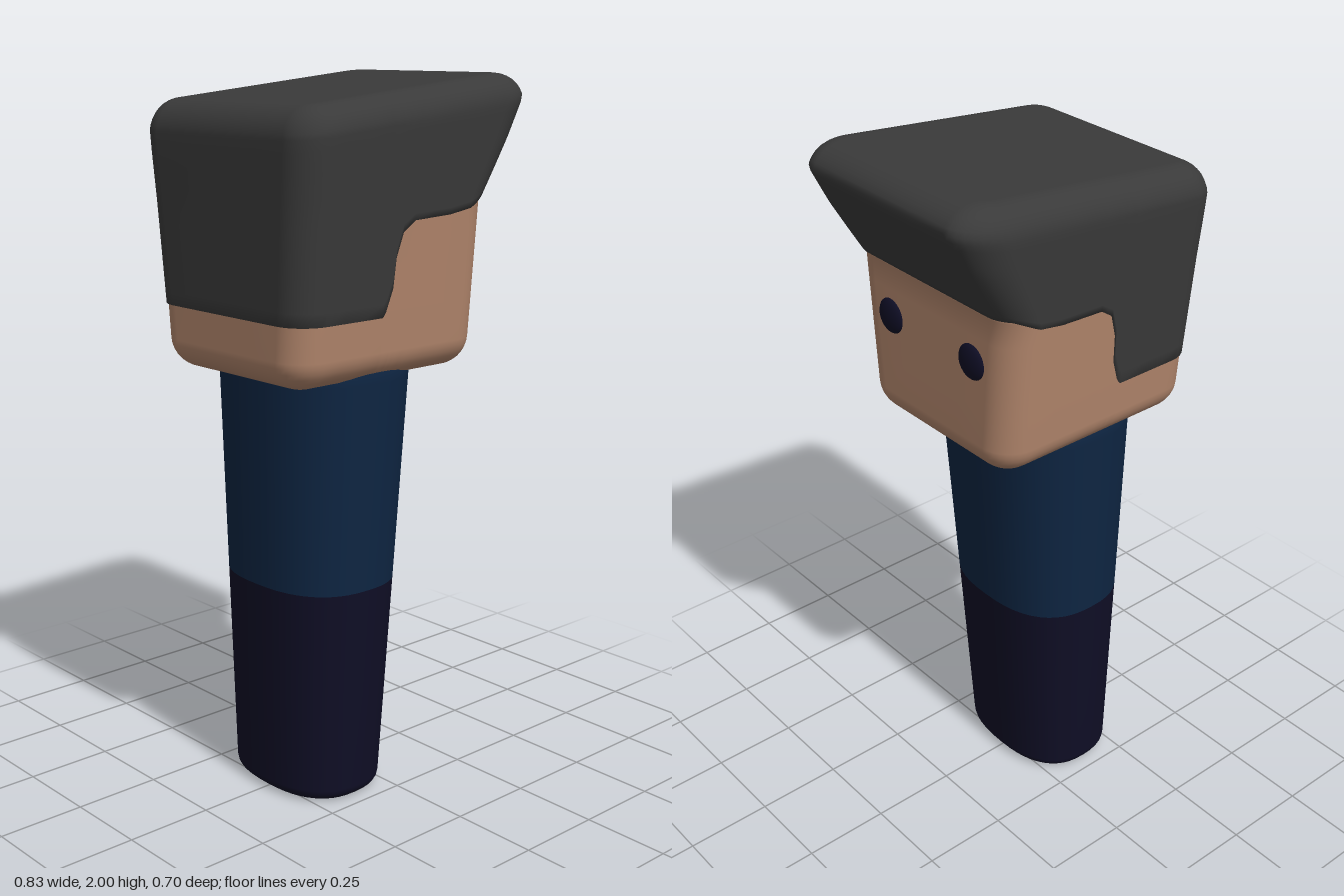
import * as THREE from 'three';

const mat = (name, color, side = THREE.FrontSide) => {
  const m = new THREE.MeshStandardMaterial({ color, side });
  m.name = name;
  return m;
};
const clamp = (v) => Math.min(1, Math.max(0, v));

// Linear interpolation through [input, output] pairs
function along(pairs, v) {
  if (v <= pairs[0][0]) return pairs[0][1];
  for (let i = 1; i < pairs.length; i++) {
    const [a, b] = [pairs[i - 1], pairs[i]];
    if (v <= b[0]) return a[1] + (b[1] - a[1]) * (v - a[0]) / (b[0] - a[0]);
  }
  return pairs[pairs.length - 1][1];
}

// Skin a stack of closed rings (bottom to top), with optional end caps
function loft(rings, capBottom, capTop) {
  const n = rings[0].length, pos = [], idx = [];
  rings.forEach((ring) => ring.forEach((p) => pos.push(...p)));
  for (let j = 0; j < rings.length - 1; j++) {
    for (let i = 0; i < n; i++) {
      const a = j * n + i, b = j * n + (i + 1) % n;
      idx.push(a, a + n, b, b, a + n, b + n);
    }
  }
  const cap = (j, top) => {
    const c = pos.length / 3;
    pos.push(...[0, 1, 2].map((k) => rings[j].reduce((s, p) => s + p[k], 0) / n));
    for (let i = 0; i < n; i++) {
      const a = j * n + i, b = j * n + (i + 1) % n;
      idx.push(c, ...(top ? [b, a] : [a, b]));
    }
  };
  if (capBottom) cap(0, false);
  if (capTop) cap(rings.length - 1, true);
  const g = new THREE.BufferGeometry();
  g.setAttribute('position', new THREE.Float32BufferAttribute(pos, 3));
  g.setIndex(idx);
  g.computeVertexNormals();
  return g;
}

// Side hairline: x against height, running from the sideburn to the fringe
const hairline = [[-0.125, 1.385], [-0.115, 1.4], [-0.095, 1.46], [-0.09, 1.54],
  [-0.07, 1.605], [-0.03, 1.632], [0.1, 1.638], [0.17, 1.65]];
const sideXs = [0.1, 0.035, -0.03, -0.05, -0.07, -0.08, -0.09, -0.095, -0.105, -0.115, -0.125, -0.2, -0.26];
const overhang = [[1.67, 0], [1.81, 0.095], [1.9, 0.148]];
const RADIUS = 0.09;

// Perimeter recipe shared by head and hair, clockwise from the middle of the face (+x)
function perimeter() {
  const list = [];
  const STEPS = 8;
  const corner = (sx, sz, start) => {
    for (let i = 0; i <= STEPS; i++) {
      const a = start + (i / STEPS) * Math.PI / 2;
      const f = clamp(Math.abs(Math.cos(a)) * 1.4);
      list.push({ sx, sz, a, low: sx > 0 ? 1.65 + 0.03 * f : 1.385 });
    }
  };
  const side = (sz, xs) => xs.forEach((x) => list.push({ x, sz, low: along(hairline, x) }));
  const flat = (sx, fs) => fs.forEach((f) => list.push({ sx, f, low: sx > 0 ? 1.68 : 1.385 }));
  flat(1, [0, 0.5]);
  corner(1, 1, 0);
  side(1, sideXs);
  corner(-1, 1, Math.PI / 2);
  flat(-1, [0.5, 0, -0.5]);
  corner(-1, -1, Math.PI);
  side(-1, [...sideXs].reverse());
  corner(1, -1, Math.PI * 1.5);
  flat(1, [-0.5]);
  return list;
}

// A point of the tapered head block at height y, moved inward by inset
function headPoint(s, y, inset) {
  const x0 = -0.405 - 0.01 * clamp((y - 1.38) / 0.45) + inset;
  const x1 = 0.26 - inset;
  const hz = 0.297 + (Math.min(y, 1.89) - 1.3) * 0.083 - inset;
  const r = Math.max(0.01, RADIUS - Math.max(0, inset));
  let x = s.x, z = s.sz * hz;
  if (s.a !== undefined) {
    x = (s.sx > 0 ? x1 - r : x0 + r) + r * Math.cos(s.a);
    z = s.sz * (hz - r) + r * Math.sin(s.a);
  } else if (s.f !== undefined) {
    x = s.sx > 0 ? x1 : x0;
    z = s.f * (hz - r);
  }
  // the quiff leans forward and its top slopes up
  x += along(overhang, y) * clamp((x + 0.1) / 0.36);
  return [x, y + 0.1 * x * clamp((y - 1.66) / 0.24), z];
}

function headGeometry() {
  const P = perimeter(), rings = [], r = 0.08;
  for (let i = 0; i <= 8; i++) {
    const a = (i / 8) * Math.PI / 2;
    rings.push(P.map((s) => headPoint(s, 1.21 + r * (1 - Math.sin(a)) * 1 , r * (1 - Math.cos(a)))));
  }
  rings.reverse();
  // the arc above runs from the wall down to the base, so order it base first
  [1.4, 1.5, 1.6, 1.67, 1.7].forEach((y) => rings.push(P.map((s) => headPoint(s, y, 0))));
  return loft(rings, true, true);
}

function hairGeometry() {
  const P = perimeter(), rings = [], ROWS = 14, start = 1.887, r = 0.08, out = 0.004;
  rings.push(P.map((s) => headPoint(s, s.low, 0.01)));
  for (let j = 0; j <= ROWS; j++) {
    rings.push(P.map((s) => headPoint(s, s.low + (start - s.low) * j / ROWS, -out)));
  }
  for (let i = 1; i <= 8; i++) {
    const a = (i / 8) * Math.PI / 2;
    rings.push(P.map((s) => headPoint(s, start + r * Math.sin(a), r * (1 - Math.cos(a)) - out)));
  }
  return loft(rings, false, true);
}

// Oval body section at height y
function bodyRing(y, inset = 0) {
  const back = -0.29 - 0.026 * y, front = 0.035 + 0.078 * y;
  const hx = (front - back) / 2 - inset, hz = 0.22 + 0.038 * y - inset;
  const e = 2 / 2.5;
  return Array.from({ length: 48 }, (_, i) => {
    const a = (i / 48) * Math.PI * 2, c = Math.cos(a), s = Math.sin(a);
    return [(front + back) / 2 + hx * Math.sign(c) * Math.abs(c) ** e, y,
      hz * Math.sign(s) * Math.abs(s) ** e];
  });
}

export function createModel() {
  const group = new THREE.Group();
  const skin = mat('skin', 0xb2866c);
  const hairMat = mat('charcoal hair', 0x3a3a3a, THREE.DoubleSide);
  const shirt = mat('navy shirt', 0x0e2542);
  const dark = mat('dark trousers', 0x0f0e25);
  const add = (name, geometry, material) => {
    const m = new THREE.Mesh(geometry, material);
    m.name = name;
    group.add(m);
    return m;
  };

  // Legs with a rounded foot edge, then the torso
  const legs = [];
  for (let i = 0; i <= 5; i++) {
    const a = (i / 5) * Math.PI / 2;
    legs.push(bodyRing(0.035 * (1 - Math.cos(a)), 0.035 * (1 - Math.sin(a))));
  }
  legs.push(bodyRing(0.3), bodyRing(0.62));
  add('legs', loft(legs, true, false), dark);
  add('torso', loft([0.62, 0.9, 1.2, 1.28].map((y) => bodyRing(y)), false, true), shirt);

  // Head and hair
  add('head', headGeometry(), skin);
  add('hair', hairGeometry(), hairMat);

  // Eyes on the +x face
  for (const s of [1, -1]) {
    const eye = add(s > 0 ? 'eyeNear' : 'eyeFar', new THREE.SphereGeometry(0.05, 24, 16), dark);
    eye.scale.x = 0.36;
    eye.position.set(0.258, 1.525, s * 0.167);
  }
  return group;
}
